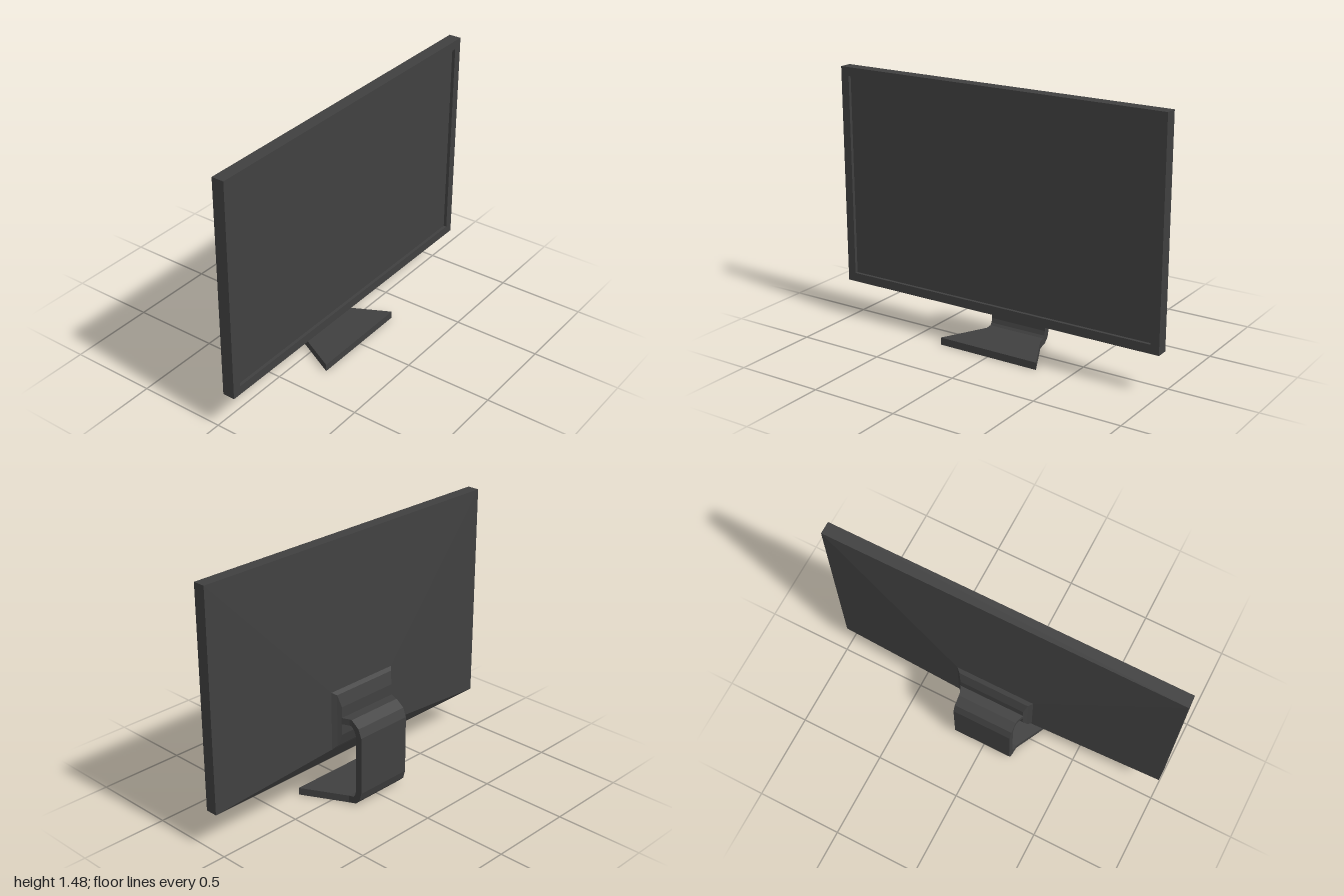
import * as THREE from 'three';

// Skin a row of four-cornered rings; each ring is [ax, ay, bx, by, halfWidth],
// two profile points spread to both sides along z.
function loft(rings, capEnd = true) {
  const corners = rings.map(([ax, ay, bx, by, h]) => [
    [ax, ay, -h], [ax, ay, h], [bx, by, h], [bx, by, -h],
  ]);
  const pos = [];
  const quad = (a, b, c, d) => pos.push(...a, ...b, ...c, ...a, ...c, ...d);
  quad(...corners[0]);
  for (let k = 0; k < corners.length - 1; k++) {
    const r = corners[k], s = corners[k + 1];
    for (let i = 0; i < 4; i++) {
      const j = (i + 1) % 4;
      quad(r[i], s[i], s[j], r[j]);
    }
  }
  if (capEnd) quad(...[...corners[corners.length - 1]].reverse());
  const geo = new THREE.BufferGeometry();
  geo.setAttribute('position', new THREE.Float32BufferAttribute(pos, 3));
  geo.computeVertexNormals();
  return geo;
}

// Upright rectangular ring at a given x
const rect = (x, y0, y1, h) => [x, y0, x, y1, h];

export function createModel() {
  const model = new THREE.Group();
  model.name = 'monitor';
  const plastic = new THREE.MeshStandardMaterial({ color: 0x404040 });
  plastic.name = 'charcoal plastic';

  const add = (name, geo) => {
    const mesh = new THREE.Mesh(geo, plastic);
    mesh.name = name;
    model.add(mesh);
    return mesh;
  };

  // Casing: tapered back, straight rim, bezel and the step down to the screen
  add('casing', loft([
    rect(-0.01, 0.32, 0.66, 0.23),
    rect(0.048, 0.226, 1.475, 1),
    rect(0.118, 0.226, 1.475, 1),
    rect(0.118, 0.276, 1.425, 0.95),
    rect(0.1, 0.276, 1.425, 0.95),
  ], false));

  // Screen panel set back inside the bezel
  const screen = add('screen', new THREE.PlaneGeometry(1.9, 1.149));
  screen.rotation.y = Math.PI / 2;
  screen.position.set(0.1, 0.8505, 0);

  // Bevelled mounting block on the back
  add('mount', loft([
    rect(-0.05, 0.41, 0.575, 0.192),
    rect(-0.03, 0.34, 0.645, 0.208),
    rect(-0.008, 0.32, 0.662, 0.232),
  ]));

  // Bent sheet stand: arm, upright and flared foot
  add('stand', loft([
    [-0.045, 0.512, -0.045, 0.475, 0.195],
    [-0.09, 0.512, -0.09, 0.475, 0.177],
    [-0.105, 0.512, -0.105, 0.475, 0.175],
    [-0.155, 0.475, -0.122, 0.458, 0.175],
    [-0.175, 0.425, -0.135, 0.428, 0.175],
    [-0.175, 0.088, -0.135, 0.085, 0.175],
    [-0.162, 0.04, -0.128, 0.06, 0.175],
    [-0.135, 0.013, -0.116, 0.047, 0.175],
    [-0.085, 0, -0.085, 0.042, 0.177],
    [0.172, 0, 0.172, 0.042, 0.31],
  ]));

  return model;
}
